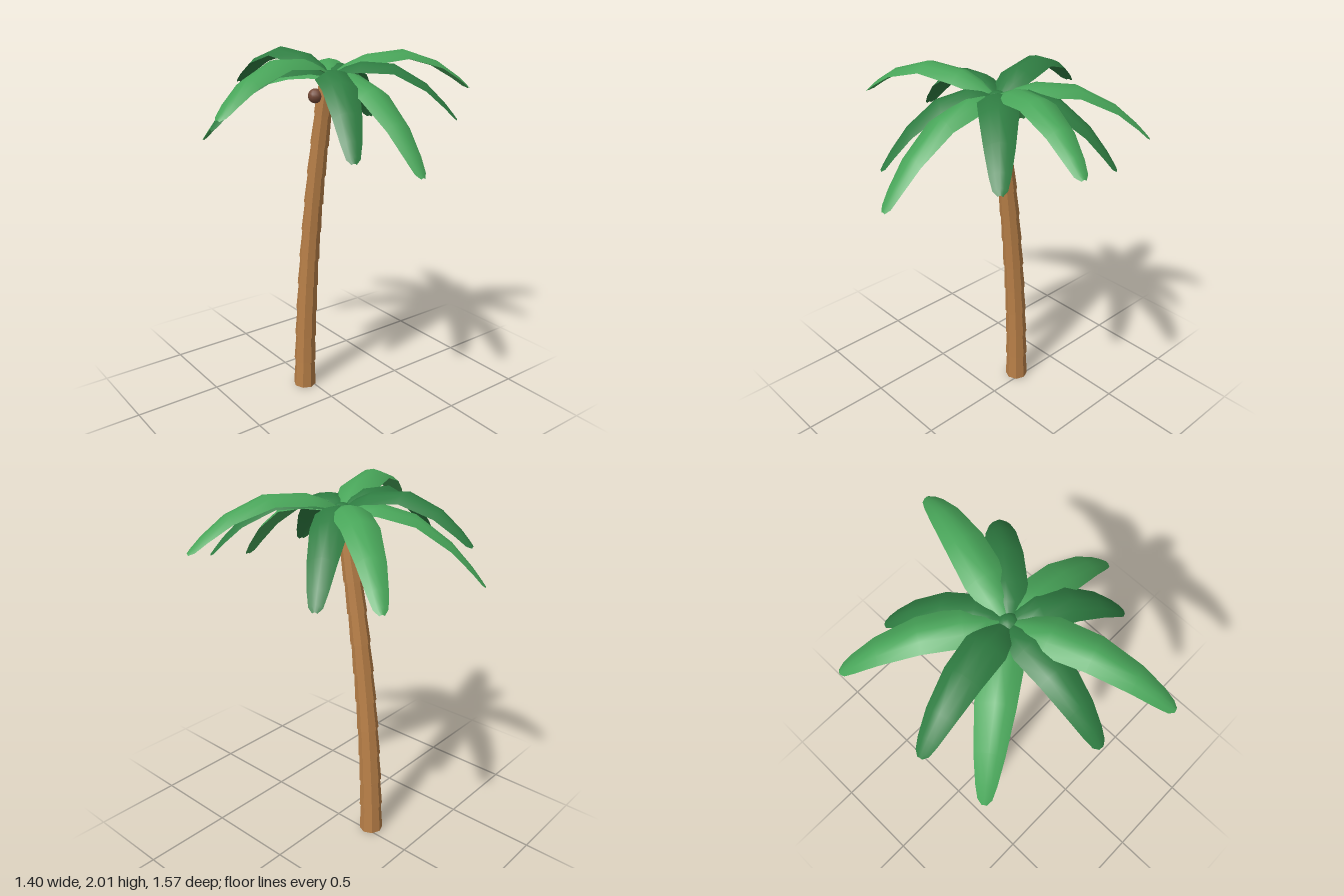
import * as THREE from 'three';

const trunkMat = new THREE.MeshStandardMaterial({ name: 'bark brown', color: 0xb98048, flatShading: true });
const lightMat = new THREE.MeshStandardMaterial({ name: 'light leaf green', color: 0x48a559, side: THREE.DoubleSide });
const darkMat = new THREE.MeshStandardMaterial({ name: 'dark leaf green', color: 0x2f7d42, side: THREE.DoubleSide });
const nutMat = new THREE.MeshStandardMaterial({ name: 'coconut brown', color: 0x744a38 });

const UP = new THREE.Vector3(0, 1, 0);
const CROWN = new THREE.Vector3(-0.02, 1.88, 0);

function add(parent, name, geometry, material) {
  const mesh = new THREE.Mesh(geometry, material);
  mesh.name = name;
  parent.add(mesh);
  return mesh;
}

// Leaning trunk: stacked tapering segments, each flared at its lower end
function makeTrunk() {
  const trunk = new THREE.Group();
  trunk.name = 'trunk';
  const count = 11;
  const at = (i) => {
    const t = i / count;
    return new THREE.Vector3(-0.225 + 0.035 * t + 0.165 * t * t, 1.85 * t, 0.036 - 0.012 * t - 0.016 * t * t);
  };
  for (let i = 0; i < count; i++) {
    const a = at(i), b = at(i + 1), axis = b.clone().sub(a);
    const r = 0.067 - 0.018 * (i / (count - 1));
    const segment = add(trunk, 'trunkSegment', new THREE.CylinderGeometry(r * 0.87, r, axis.length(), 8), trunkMat);
    segment.position.copy(a).add(b).multiplyScalar(0.5);
    segment.quaternion.setFromUnitVectors(UP, axis.normalize());
  }
  return trunk;
}

// Arched frond running along +x: rows of [distance along, half width]
const ROWS = [[0, 0.035], [0.12, 0.075], [0.25, 0.1], [0.5, 0.092], [0.75, 0.071], [0.9, 0.05], [0.97, 0.034], [1, 0.012]];

function frondGeometry(length, drop) {
  const positions = [], index = [], cols = 4, bend = 0.68;
  ROWS.forEach(([t, half], i) => {
    const y = (drop + bend) * t - bend * t * t;
    for (let j = 0; j <= cols; j++) {
      const s = (2 * j) / cols - 1;
      positions.push(length * t, y - 0.45 * half * s * s, half * s);
      if (i < ROWS.length - 1 && j < cols) {
        const a = i * (cols + 1) + j, b = a + cols + 1;
        index.push(a, a + 1, b, a + 1, b + 1, b);
      }
    }
  });
  const geometry = new THREE.BufferGeometry();
  geometry.setAttribute('position', new THREE.Float32BufferAttribute(positions, 3));
  geometry.setIndex(index);
  geometry.computeVertexNormals();
  return geometry;
}

// Frond tips [x, y, z] in order round the crown, alternating light and dark
const TIPS = [
  [0.22, 1.78, -0.78], [0.42, 1.67, -0.49], [0.7, 1.5, 0], [0.52, 1.57, 0.26], [0.22, 1.78, 0.78],
  [-0.1, 1.67, 0.65], [-0.62, 1.5, 0.43], [-0.7, 1.79, 0.14], [-0.66, 1.63, -0.47], [-0.33, 1.57, -0.53],
];

function makeCrown() {
  const crown = new THREE.Group();
  crown.name = 'crown';
  TIPS.forEach(([x, y, z], i) => {
    const dx = x - CROWN.x, dz = z - CROWN.z;
    const frond = add(crown, 'frond', frondGeometry(Math.hypot(dx, dz), y - CROWN.y), i % 2 ? darkMat : lightMat);
    frond.position.copy(CROWN);
    frond.rotation.y = Math.atan2(-dz, dx);
  });
  // Bud where the fronds meet
  const bud = add(crown, 'bud', new THREE.SphereGeometry(0.06, 10, 8), darkMat);
  bud.position.set(-0.02, 1.86, 0);
  bud.scale.y = 0.85;
  return crown;
}

// Three coconuts spaced evenly under the crown
function makeCoconuts() {
  const coconuts = new THREE.Group();
  coconuts.name = 'coconuts';
  for (let i = 0; i < 3; i++) {
    const angle = -Math.PI * 0.75 + (i * Math.PI * 2) / 3;
    const nut = add(coconuts, 'coconut', new THREE.SphereGeometry(0.038, 12, 8), nutMat);
    nut.position.set(-0.04 + 0.06 * Math.cos(angle), 1.78, 0.005 + 0.06 * Math.sin(angle));
  }
  return coconuts;
}

export function createModel() {
  const palm = new THREE.Group();
  palm.name = 'palmTree';
  palm.add(makeTrunk(), makeCrown(), makeCoconuts());
  return palm;
}
